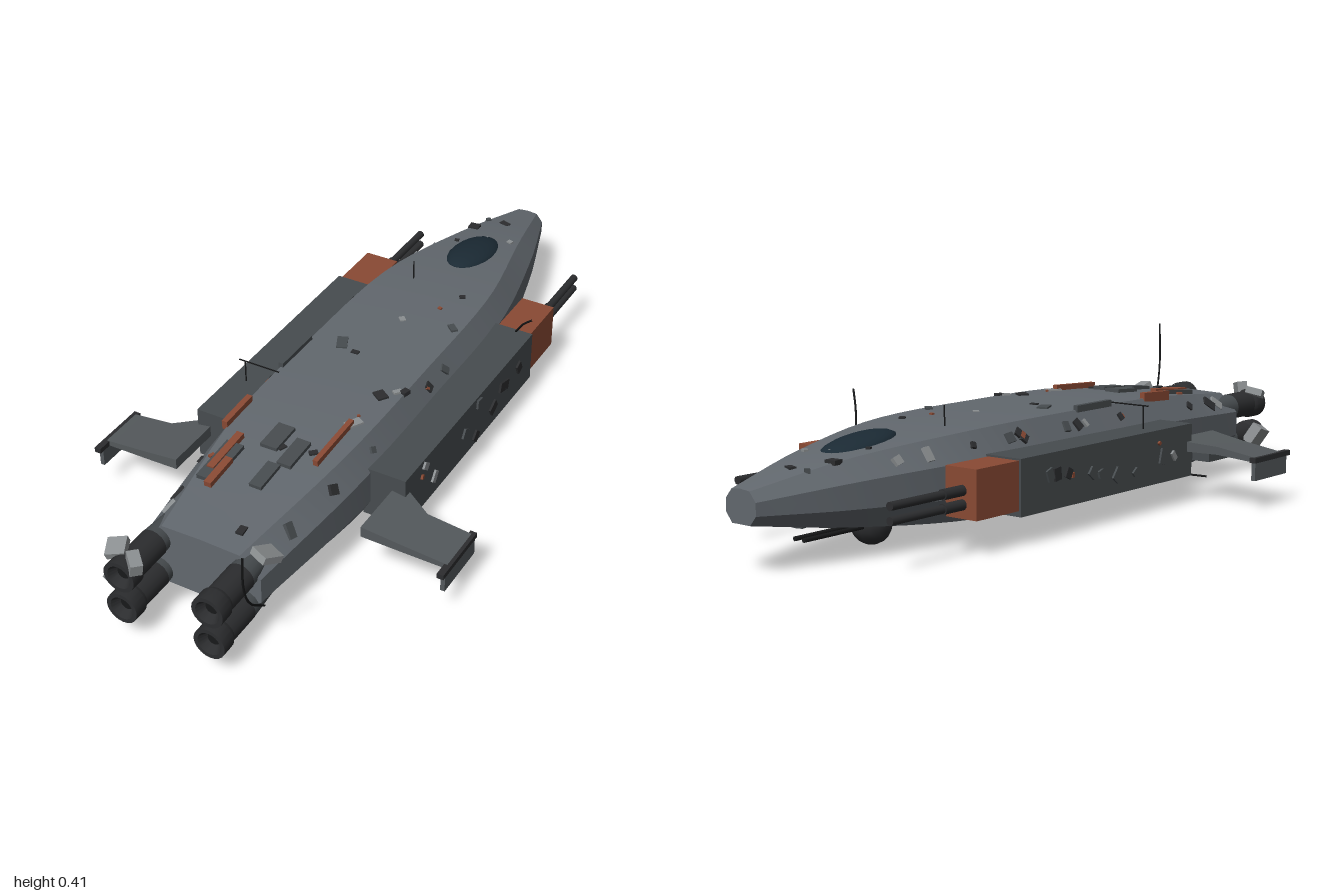
import * as THREE from 'three';
import { toCreasedNormals } from 'three/addons/utils/BufferGeometryUtils.js';

const mat = (color) => new THREE.MeshStandardMaterial({ color });
const M = {
  hull: mat(0x62686e), pod: mat(0x474c4f), dark: mat(0x2c2d2f), black: mat(0x18191a),
  rust: mat(0x8a4a34), glass: mat(0x1b2a34), light: mat(0x8b8f91), wing: mat(0x54595c),
};

// hull stations: z, half width, half width of the flat top, top y, bottom y
const STATIONS = [
  [-1, 0.05, 0.03, 0.2, 0.12],
  [-0.75, 0.127, 0.085, 0.245, 0.083],
  [-0.4, 0.198, 0.158, 0.277, 0.054],
  [0, 0.207, 0.17, 0.283, 0.047],
  [0.4, 0.207, 0.165, 0.277, 0.05],
  [0.82, 0.166, 0.11, 0.24, 0.067],
];

function station(z) {
  let i = 0;
  while (i < STATIONS.length - 2 && z > STATIONS[i + 1][0]) i++;
  const at = (k) => STATIONS[Math.min(Math.max(k, 0), STATIONS.length - 1)];
  const [a, b] = [at(i), at(i + 1)];
  const t = (z - a[0]) / (b[0] - a[0]);
  const slope = (k, c) => (at(k + 1)[c] - at(k - 1)[c]) / (at(k + 1)[0] - at(k - 1)[0]);
  const h = b[0] - a[0];
  return [1, 2, 3, 4].map((c) =>
    (2 * t ** 3 - 3 * t * t + 1) * a[c] + (t ** 3 - 2 * t * t + t) * h * slope(i, c) +
    (3 * t * t - 2 * t ** 3) * b[c] + (t ** 3 - t * t) * h * slope(i + 1, c));
}

// skin over closed rings of points (anticlockwise seen from +z, rings ordered toward +z)
function loft(rings) {
  const n = rings[0].length, pos = rings.flat(2), idx = [];
  for (let r = 0; r < rings.length - 1; r++) {
    for (let i = 0; i < n; i++) {
      const a = r * n + i, b = r * n + (i + 1) % n;
      idx.push(a, b, b + n, a, b + n, a + n);
    }
  }
  const last = (rings.length - 1) * n;
  for (let i = 1; i < n - 1; i++) idx.push(0, i + 1, i, last, last + i, last + i + 1);
  const g = new THREE.BufferGeometry();
  g.setAttribute('position', new THREE.Float32BufferAttribute(pos, 3));
  g.setIndex(idx);
  return toCreasedNormals(g, 0.45);
}

function hullGeometry() {
  const rings = [];
  for (let k = 0; k <= 26; k++) {
    const z = -1 + 1.82 * k / 26;
    const [w, tw, top, bot] = station(z);
    const m = (top + bot) / 2, a = (top - bot) * 0.2;
    rings.push([[w, m - a, z], [w, m + a, z], [tw, top, z], [0, top + 0.003, z], [-tw, top, z],
      [-w, m + a, z], [-w, m - a, z], [-tw, bot, z], [tw, bot, z]]);
  }
  return loft(rings);
}

export function createModel() {
  const root = new THREE.Group();
  root.name = 'spaceship';
  const add = (parent, name, geo, material, p = [0, 0, 0], r = [0, 0, 0]) => {
    const m = new THREE.Mesh(geo, material);
    m.name = name;
    m.position.set(...p);
    m.rotation.set(...r);
    parent.add(m);
    return m;
  };
  const box = (parent, name, size, p, material, r) =>
    add(parent, name, new THREE.BoxGeometry(...size), material, p, r);
  // cylinder along z: front radius (toward -z), back radius
  const tube = (parent, name, rf, rb, len, p, material, sides = 16) =>
    add(parent, name, new THREE.CylinderGeometry(rb, rf, len, sides), material, p, [Math.PI / 2, 0, 0]);
  const wire = (parent, name, pts, rad) => add(parent, name, new THREE.TubeGeometry(
    new THREE.CatmullRomCurve3(pts.map((p) => new THREE.Vector3(...p))), 10, rad, 5), M.black);

  add(root, 'hull', hullGeometry(), M.hull);

  // canopy
  const canopy = add(root, 'canopy', new THREE.SphereGeometry(1, 20, 12), M.glass, [0, 0.253, -0.62], [-0.14, 0, 0]);
  canopy.scale.set(0.064, 0.028, 0.125);

  // belly ball turret
  const turret = new THREE.Group();
  turret.name = 'bellyTurret';
  root.add(turret);
  add(turret, 'turretBall', new THREE.SphereGeometry(0.053, 14, 10), M.dark, [0, 0.054, -0.575]);
  for (const x of [-0.015, 0.015]) tube(turret, 'turretGun', 0.006, 0.006, 0.22, [x, 0.054, -0.71], M.black, 8);

  for (const s of [-1, 1]) {
    // side pod with gun block
    const pod = new THREE.Group();
    pod.name = s > 0 ? 'leftPod' : 'rightPod';
    root.add(pod);
    box(pod, 'podBody', [0.12, 0.145, 0.74], [s * 0.248, 0.148, 0], M.pod);
    box(pod, 'gunBlock', [0.098, 0.125, 0.16], [s * 0.252, 0.153, -0.448], M.rust);
    for (const y of [0.125, 0.16]) {
      tube(pod, 'gunBarrel', 0.011, 0.011, 0.27, [s * 0.256, y, -0.645], M.dark, 10);
      tube(pod, 'gunSleeve', 0.014, 0.014, 0.08, [s * 0.256, y, -0.56], M.dark, 10);
    }

    // swept wing, thinning and drooping toward the tip
    const wing = new THREE.Group();
    wing.name = s > 0 ? 'leftWing' : 'rightWing';
    root.add(wing);
    const sections = [[0.27, 0.325, 0.53, 0.163, 0.03], [0.38, 0.388, 0.522, 0.149, 0.022], [0.5, 0.385, 0.515, 0.137, 0.014]];
    const rings = sections.map(([x, z0, z1, y, t]) =>
      [[s * x, y - t / 2, z0], [s * x, y + t / 2, z0], [s * x, y + t / 2, z1], [s * x, y - t / 2, z1]]);
    if (s < 0) rings.forEach((r) => r.reverse());
    const skin = loft(rings.map((r) => r.slice().reverse()));
    const wingMat = M.wing.clone();
    wingMat.side = THREE.DoubleSide;
    add(wing, 'wingPanel', skin, wingMat);
    box(wing, 'wingletPlate', [0.012, 0.06, 0.16], [s * 0.501, 0.111, 0.46], M.wing);
    box(wing, 'wingletRail', [0.018, 0.014, 0.18], [s * 0.501, 0.137, 0.465], M.dark);
    box(wing, 'underWingBox', [0.055, 0.035, 0.1], [s * 0.325, 0.132, 0.44], M.pod);

    // paired engines
    for (const y of [0.1, 0.197]) {
      const engine = new THREE.Group();
      engine.name = 'engine';
      engine.position.set(s * 0.123, y, 0);
      root.add(engine);
      tube(engine, 'engineFairing', 0.026, 0.038, 0.18, [0, 0, 0.76], M.pod);
      tube(engine, 'engineBody', 0.038, 0.038, 0.1, [0, 0, 0.89], M.dark);
      const nozzle = new THREE.LatheGeometry([[0.038, 0], [0.043, 0.01], [0.043, 0.05], [0.032, 0.05], [0.019, 0.025], [0, 0.025]]
        .map(([x, h]) => new THREE.Vector2(x, h)), 20);
      add(engine, 'engineNozzle', toCreasedNormals(nozzle, 0.5), M.dark, [0, 0, 0.932], [Math.PI / 2, 0, 0]);
      tube(engine, 'engineCore', 0.017, 0.017, 0.004, [0, 0, 0.96], M.black);
    }
  }

  // deck plates and rusted bars: x, z, width, length
  const deck = [[-0.02, 0.435, 0.048, 0.09], [0.048, 0.47, 0.04, 0.1], [0.025, 0.57, 0.035, 0.09], [-0.1, 0.575, 0.05, 0.14], [-0.17, 0.1, 0.014, 0.15]];
  const bars = [[-0.165, 0.395, 0.016, 0.12], [0.115, 0.39, 0.014, 0.18], [-0.107, 0.54, 0.02, 0.14], [-0.083, 0.61, 0.02, 0.1]];
  const lay = (name, list, h, material) => list.forEach(([x, z, w, l]) => {
    const top = station(z)[2], tilt = Math.atan((station(z + 0.02)[2] - station(z - 0.02)[2]) / 0.04);
    box(root, name, [w, h, l], [x, top + 0.003, z], material, [-tilt, 0, 0]);
  });
  lay('deckPlate', deck, 0.018, M.pod);
  lay('rustedBar', bars, 0.026, M.rust);

  // loose plates round the right engines
  [[-0.185, 0.11, 0.9, 0.035, 0.06], [-0.16, 0.235, 0.93, 0.05, 0.02], [-0.09, 0.24, 0.96, 0.03, 0.035], [0.16, 0.235, 0.78, 0.06, 0.02]]
    .forEach(([x, y, z, w, h], i) => box(root, 'loosePlate', [w, h, 0.05], [x, y, z], M.light, [0.3, 0.4 * i, 0.5 - i * 0.4]));

  // aerials
  wire(root, 'sternAerial', [[0.16, 0.09, 0.8], [0.185, 0.19, 0.9], [0.205, 0.29, 0.95], [0.231, 0.415, 0.985]], 0.003);
  wire(root, 'podAerial', [[0.262, 0.22, -0.36], [0.3, 0.28, -0.32], [0.342, 0.328, -0.285]], 0.003);
  wire(root, 'bellyAerial', [[0, 0.054, 0.47], [-0.14, 0.05, 0.49], [-0.275, 0.05, 0.5]], 0.003);
  wire(root, 'deckAerial', [[-0.07, 0.27, -0.38], [-0.072, 0.335, -0.385]], 0.002);
  wire(root, 'podMast', [[-0.265, 0.22, 0.2], [-0.265, 0.284, 0.2]], 0.002);
  wire(root, 'podCrossWire', [[-0.283, 0.284, 0.2], [-0.16, 0.284, 0.2]], 0.002);

  // small fittings scattered on the skin
  let seed = 11;
  const rnd = () => ((seed = (seed * 16807) % 2147483647) / 2147483647);
  const fittings = new THREE.Group();
  fittings.name = 'fittings';
  root.add(fittings);
  const tones = [M.dark, M.dark, M.pod, M.pod, M.light, M.rust];
  for (let i = 0; i < 84; i++) {
    const z = -0.85 + 1.6 * rnd(), [w, tw, top, bot] = station(z);
    const u = 2 * rnd() - 1, side = u < 0 ? -1 : 1, m = (top + bot) / 2, a = (top - bot) * 0.2;
    const spot = i % 4;
    const p = spot === 0 ? [u * tw, top, z] : spot === 1 ? [u * tw, bot, z]
      : spot === 2 ? [side * (w + tw) / 2, (top + m + a) / 2, z]
        : [side * 0.308, 0.1 + 0.1 * Math.abs(u), z * 0.42];
    const roll = spot === 2 ? -side * 1.0 : spot === 3 ? Math.PI / 2 : 0;
    const q = 0.012 + 0.018 * rnd();
    const tone = tones[Math.floor(rnd() * tones.length)];
    const k = tone === M.rust ? 0.5 : 1;
    const f = box(fittings, 'fitting', [q * k, 0.012, q * k * (0.8 + rnd())], p, tone, [0, 0, roll]);
    f.rotateY(rnd() * 3);
  }
  return root;
}
